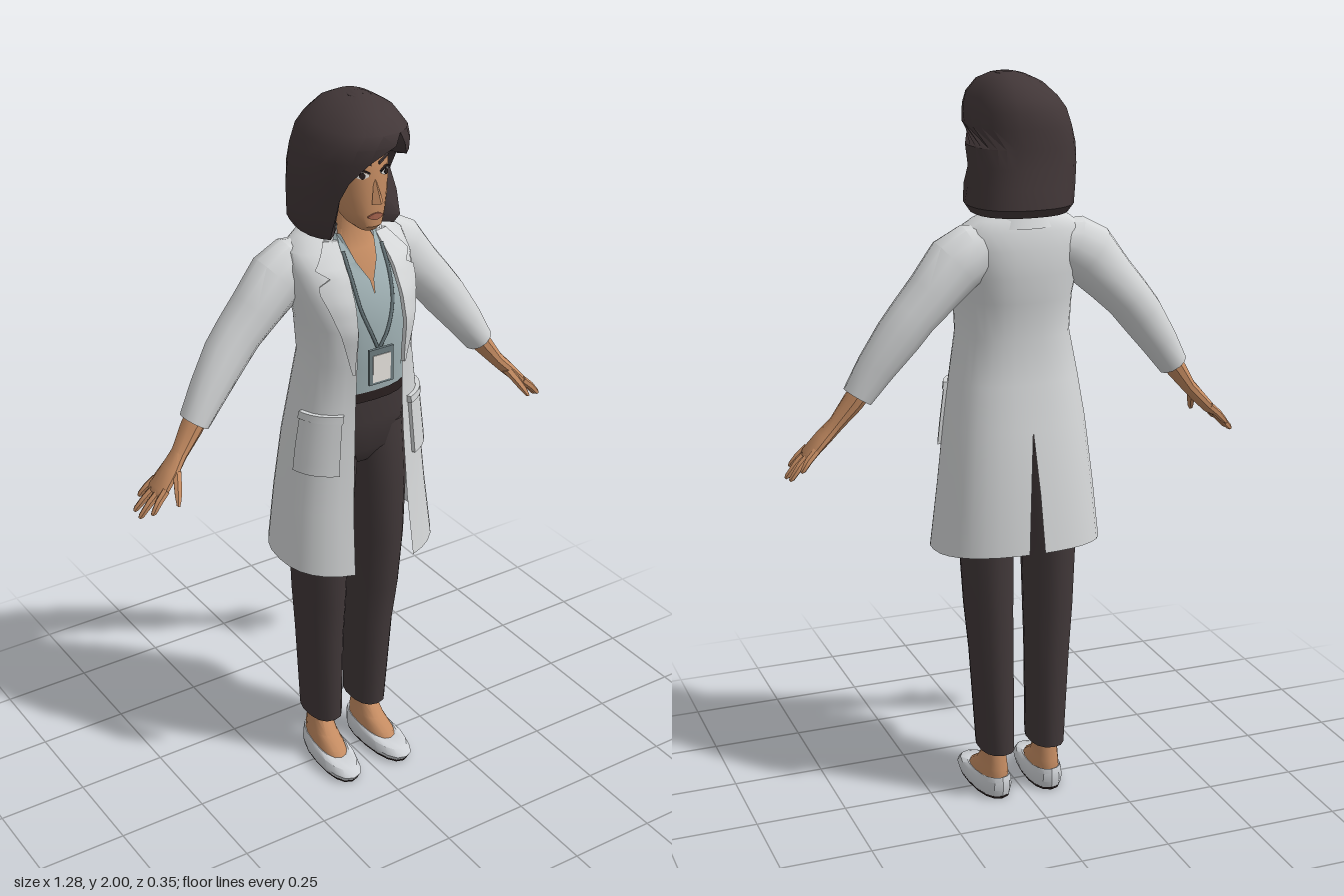
import * as THREE from 'three';
import { toCreasedNormals } from 'three/addons/utils/BufferGeometryUtils.js';

const P = 0.85; // squareness of every cross-section
const paint = (name, color) => {
  const m = new THREE.MeshStandardMaterial({ color, side: THREE.DoubleSide });
  m.name = name;
  return m;
};
const V = (x, y, z) => new THREE.Vector3(x, y, z);
const pow = (v) => Math.sign(v) * Math.abs(v) ** P;

// Surface through rows of points; columns listed in skip stay open
function grid(rows, skip = -1, caps = false) {
  const n = rows[0].length, pos = [], idx = [];
  rows.forEach((r) => r.forEach((p) => pos.push(p.x, p.y, p.z)));
  for (let r = 0; r < rows.length - 1; r++) for (let c = 0; c < n - 1; c++) {
    if (c === skip) continue;
    const a = r * n + c, b = a + 1, d = a + n;
    idx.push(a, b, d, b, d + 1, d);
  }
  if (caps) [0, rows.length - 1].forEach((r) => {
    const m = rows[r].reduce((s, p) => s.add(p), V(0, 0, 0)).divideScalar(n);
    const k = pos.length / 3;
    pos.push(m.x, m.y, m.z);
    for (let c = 0; c < n - 1; c++) {
      const a = r * n + c;
      if (r) idx.push(a, a + 1, k); else idx.push(a + 1, a, k);
    }
  });
  const g = new THREE.BufferGeometry();
  g.setAttribute('position', new THREE.Float32BufferAttribute(pos, 3));
  g.setIndex(idx);
  return toCreasedNormals(g, 0.65);
}

// Body row: [y, centreX, halfWidth, zFront, zBack, openLeft, openRight, backGap, tilt]; angle 0 is the front
const ringPoint = ([y, cx, w, zf, zb, , , , tilt = 0], t, off = 0) => V(
  cx + w * pow(Math.sin(t)) + off * Math.sin(t),
  y + tilt * Math.cos(t),
  (zf + zb) / 2 + (zf - zb) / 2 * pow(Math.cos(t)) + off * Math.cos(t));
const angleAt = (row, x) => Math.sign(x) * Math.asin(Math.min(1, Math.abs(x) / row[2]) ** (1 / P));

function rowAt(rows, y) {
  let i = 0;
  while (i < rows.length - 2 && rows[i + 1][0] < y) i++;
  const k = (y - rows[i][0]) / (rows[i + 1][0] - rows[i][0]);
  return rows[i].map((v, j) => v + ((rows[i + 1][j] ?? 0) - v) * k);
}

// Body shell, in two halves that meet at the back; rim turns open edges inwards
function shell(rows, { caps = false, rim = 1, half = 12 } = {}) {
  const pts = rows.map((row) => {
    const [, cx, , zf, zb, o1 = 0, o2 = 0, gap = 0] = row, ring = [];
    for (let side = 0; side < 2; side++) for (let i = 0; i <= half; i++) {
      const k = i / half;
      const t = side ? Math.PI + k * (Math.PI - o2) : o1 + k * (Math.PI - o1);
      const p = ringPoint(row, t);
      if (!side && i === half) p.x += gap;
      if (side && i === 0) p.x -= gap;
      ring.push(p);
    }
    if (rim !== 1) {
      const inward = (p) => V(cx + (p.x - cx) * rim, p.y, (zf + zb) / 2 + (p.z - (zf + zb) / 2) * rim);
      ring.unshift(inward(ring[0]));
      ring.push(inward(ring[ring.length - 1]));
    }
    return ring;
  });
  return grid(pts, half + (rim !== 1 ? 1 : 0), caps);
}

// Thin raised plate lying on a shell; map(u, v) gives [x or angle, y]
function patch(rows, map, { off = 0.007, byAngle = false, nu = 6, nv = 6 } = {}) {
  const out = [];
  for (let j = -1; j <= nv + 1; j++) {
    const line = [];
    for (let i = -1; i <= nu + 1; i++) {
      const edge = i < 0 || j < 0 || i > nu || j > nv;
      const cl = (a, n) => Math.max(0, Math.min(n, a)) / n;
      const [a, y] = map(cl(i, nu), cl(j, nv)), row = rowAt(rows, y);
      line.push(ringPoint(row, byAngle ? a : angleAt(row, a), edge ? -0.002 : off));
    }
    out.push(line);
  }
  return grid(out);
}

// Limb through stations [x, y, z, thickness, breadth]
function limb(st, sides = 10) {
  return grid(st.map(([x, y, z, a, b], i) => {
    const p = st[Math.max(0, i - 1)], q = st[Math.min(st.length - 1, i + 1)];
    const d = V(q[0] - p[0], q[1] - p[1], 0).normalize();
    return Array.from({ length: sides + 1 }, (_, k) => {
      const t = k / sides * Math.PI * 2, c = Math.cos(t) * a;
      return V(x - d.y * c, y + d.x * c, z + Math.sin(t) * b);
    });
  }), -1, true);
}

export function createModel() {
  const model = new THREE.Group();
  const skin = paint('skin', 0xc58c62), hairMat = paint('hair', 0x423738), white = paint('coat cloth', 0xd5d7d8);
  const shirtMat = paint('shirt cloth', 0x9fb0b3), dark = paint('trouser cloth', 0x413839), shoeMat = paint('shoe', 0xcfd2d6);
  const slate = paint('lanyard', 0x6d7c80), eyeMat = paint('eye white', 0xe8e4df), black = paint('dark detail', 0x2a2020);
  const lipMat = paint('lips', 0xa8654f);
  const add = (name, geo, mat) => {
    const m = new THREE.Mesh(geo, mat);
    m.name = name;
    model.add(m);
    return m;
  };

  // Coat: front edges given as x, turned into angles
  const coat = [
    [0.73, 0, 0.232, 0.172, -0.178, 0.1, 0.09, 0.022, -0.018], [0.9, 0, 0.213, 0.152, -0.165, 0.09, 0.083, 0.013, -0.008],
    [1.08, 0, 0.192, 0.14, -0.143, 0.082, 0.073, 0, 0], [1.2, 0, 0.174, 0.136, -0.122, 0.078, 0.068, 0, 0],
    [1.32, 0, 0.152, 0.142, -0.11, 0.074, 0.066, 0, 0], [1.42, 0, 0.156, 0.153, -0.124, 0.074, 0.068, 0, 0],
    [1.49, 0, 0.167, 0.135, -0.134, 0.074, 0.07, 0, 0], [1.56, 0, 0.175, 0.095, -0.133, 0.072, 0.07, 0, 0],
    [1.605, 0, 0.168, 0.05, -0.125, 0.068, 0.068, 0, 0], [1.635, 0, 0.13, 0.02, -0.115, 0.06, 0.06, 0, 0],
    [1.655, 0, 0.08, 0, -0.1, 0.05, 0.05, 0, 0]];
  coat.forEach((r) => { r[5] = angleAt(r, r[5]); r[6] = angleAt(r, r[6]); });
  add('coat', shell(coat, { half: 14 }), white);
  add('coatCollar', shell([[1.615, 0, 0.108, 0.055, -0.128, 0.75, 0.75], [1.675, 0, 0.075, 0.035, -0.105, 0.75, 0.75],
    [1.64, 0, 0.066, 0.03, -0.098, 0.75, 0.75]]), white);

  // Shirt, V neck and chest
  const shirt = [[1.2, 0, 0.14, 0.113, -0.1, 0, 0], [1.3, 0, 0.128, 0.122, -0.092, 0, 0], [1.42, 0, 0.135, 0.135, -0.1, 0, 0],
    [1.5, 0, 0.138, 0.115, -0.11, 0, 0], [1.535, 0, 0.135, 0.1, -0.11, 0.02, 0.02], [1.58, 0, 0.12, 0.075, -0.105, 0.2, 0.2],
    [1.645, 0, 0.066, 0.043, -0.09, 0.75, 0.75]];
  add('shirt', shell(shirt), shirtMat);
  add('neck', shell([[1.46, 0, 0.1, 0.095, -0.08], [1.54, 0, 0.1, 0.08, -0.085], [1.6, 0, 0.075, 0.045, -0.085],
    [1.65, 0, 0.047, 0.025, -0.08], [1.74, 0, 0.046, 0.035, -0.075]]), skin);

  // Trousers top and belt
  add('trouserTop', shell([[0.99, 0, 0.09, 0.06, -0.08], [1.04, 0, 0.148, 0.092, -0.118], [1.13, 0, 0.152, 0.105, -0.118],
    [1.215, 0, 0.143, 0.112, -0.102]], { caps: true }), dark);
  add('belt', shell([[1.2, 0, 0.145, 0.117, -0.105], [1.228, 0, 0.143, 0.118, -0.104]]), black);

  // Head
  const head = [[1.67, 0, 0.022, 0.1, 0.04], [1.685, 0, 0.04, 0.114, 0], [1.72, 0, 0.058, 0.115, -0.06], [1.77, 0, 0.072, 0.114, -0.1],
    [1.83, 0, 0.078, 0.112, -0.12], [1.9, 0, 0.076, 0.105, -0.12], [1.95, 0, 0.055, 0.07, -0.09]];
  add('head', shell(head, { caps: true }), skin);
  const nose = add('nose', new THREE.ConeGeometry(0.017, 0.075, 4).toNonIndexed(), skin);
  nose.geometry.computeVertexNormals();
  nose.position.set(0, 1.785, 0.115);
  nose.rotation.x = -0.22;
  const lens = (rows, x, w, y, h, off) => patch(rows, (u, v) => [x + (u - 0.5) * w, y + (v - 0.5) * h * Math.sin(Math.PI * (0.06 + 0.88 * u))],
    { off, nu: 8, nv: 2 });
  add('lips', lens(head, 0, 0.042, 1.713, 0.018, 0.004), lipMat);

  // Hair: swept across from a side parting, tucked behind the left ear
  const hair = [[1.665, 0, 0.06, 0.02, -0.09, 1, 0.8], [1.648, 0, 0.125, 0.085, -0.15, 0.95, 0.8], [1.67, 0, 0.14, 0.1, -0.166, 0.95, 0.75],
    [1.72, -0.005, 0.142, 0.115, -0.16, 1.4, 0.68], [1.77, -0.01, 0.143, 0.128, -0.152, 1.6, 0.62], [1.82, -0.012, 0.141, 0.145, -0.15, 1.5, 0.5],
    [1.87, -0.01, 0.134, 0.165, -0.15, 0.6, 0.25], [1.91, -0.006, 0.124, 0.177, -0.145, 0.4, -0.15], [1.94, 0, 0.108, 0.172, -0.132, 0.27, -0.27],
    [1.975, 0.008, 0.077, 0.13, -0.1, 0.27, -0.27], [1.993, 0.013, 0.042, 0.075, -0.06, 0.27, -0.27], [2, 0.016, 0.012, 0.03, -0.01, 0.27, -0.27]];
  add('hair', shell(hair, { rim: 0.72, half: 9, caps: false }), hairMat);
  add('hairCrown', new THREE.SphereGeometry(0.03, 12, 6).scale(1, 0.12, 1.3).translate(0.016, 1.996, 0.01), hairMat);

  // Identity badge
  const badge = add('badge', new THREE.BoxGeometry(0.074, 0.1, 0.008), slate);
  badge.position.set(0, 1.312, 0.143);
  const card = add('badgeCard', new THREE.BoxGeometry(0.054, 0.076, 0.006), eyeMat);
  card.position.set(0, 1.307, 0.146);

  for (const s of [1, -1]) {
    const side = s > 0 ? 'left' : 'right';
    const at = (rows) => rows.map(([x, ...r]) => [s * x, ...r]);
    const body = (rows) => rows.map(([y, x, ...r]) => [y, s * x, ...r]);

    // Lapel with its notch, pocket and flap line
    const lapel = [[1.3, 0.072, 0.078], [1.42, 0.07, 0.108], [1.535, 0.066, 0.142], [1.555, 0.065, 0.108], [1.575, 0.064, 0.135], [1.63, 0.055, 0.09]];
    add(side + 'Lapel', patch(coat, (u, v) => {
      const [y, a, b] = rowAt(lapel, 1.3 + v * 0.33);
      return [s * (a + (b - a) * u), y];
    }, { nu: 4, nv: 18, off: 0.009 }), white);
    add(side + 'Pocket', patch(coat, (u, v) => [s * (0.55 + 0.82 * u), 1.015 + 0.165 * v], { byAngle: true, off: 0.009 }), white);
    add(side + 'PocketHem', patch(coat, (u, v) => [s * (0.53 + 0.86 * u), 1.165 + 0.02 * v], { byAngle: true, off: 0.012, nv: 1 }), white);

    // Lanyard strap
    const strap = [[0.055, 1.61], [0.054, 1.54], [0.046, 1.47], [0.022, 1.4], [0.004, 1.36]].map(([x, y]) => {
      const row = rowAt(shirt, y);
      return ringPoint(row, angleAt(row, s * x), 0.006);
    });
    add(side + 'LanyardStrap', new THREE.TubeGeometry(new THREE.CatmullRomCurve3(strap), 16, 0.005, 5), slate);

    // Face details and ear
    add(side + 'Eye', lens(head, s * 0.034, 0.034, 1.822, 0.017, 0.002), eyeMat);
    add(side + 'Iris', lens(head, s * 0.034, 0.014, 1.822, 0.017, 0.004), black);
    add(side + 'EyeLid', patch(head, (u, v) => [s * (0.016 + 0.037 * u), 1.825 + 0.008 * Math.sin(Math.PI * u) + 0.004 * v], { off: 0.005, nv: 1 }), black);
    add(side + 'Eyebrow', patch(head, (u, v) => [s * (0.012 + 0.045 * u), 1.845 + 0.012 * Math.sin(2.2 * u) + 0.007 * v * (1 - 0.6 * u)],
      { off: 0.004, nv: 1 }), hairMat);
    const ear = add(side + 'Ear', new THREE.SphereGeometry(0.03, 10, 8).scale(0.4, 1, 0.65), skin);
    ear.position.set(s * 0.083, 1.8, -0.005);
    ear.rotation.y = s * -0.35;

    // Sleeve, forearm and palm
    add(side + 'Sleeve', limb(at([[0.09, 1.57, -0.06, 0.055, 0.045], [0.135, 1.555, -0.06, 0.078, 0.062], [0.185, 1.525, -0.06, 0.083, 0.066],
      [0.25, 1.453, -0.062, 0.07, 0.064], [0.3, 1.4, -0.062, 0.064, 0.06], [0.34, 1.35, -0.06, 0.062, 0.058], [0.4, 1.268, -0.05, 0.052, 0.05],
      [0.448, 1.195, -0.043, 0.041, 0.043]]), 12), white);
    add(side + 'Forearm', limb(at([[0.42, 1.235, -0.045, 0.03, 0.035], [0.46, 1.18, -0.04, 0.028, 0.033], [0.502, 1.125, -0.03, 0.02, 0.026],
      [0.535, 1.09, -0.022, 0.019, 0.036], [0.575, 1.048, -0.018, 0.015, 0.043], [0.585, 1.038, -0.018, 0.01, 0.038]])), skin);

    // Fingers [baseX, baseZ, tipX, tipZ] and thumb
    [[0.562, -0.049, 0.608, -0.064], [0.57, -0.029, 0.633, -0.042], [0.573, -0.006, 0.636, -0.008], [0.568, 0.015, 0.617, 0.026]].forEach(([x, z, X, Z], i) => {
      const y = (v) => 1.052 - (v - 0.572) * 1.05, m = (x + X) / 2;
      add(side + 'Finger' + (i + 1), limb(at([[x, y(x), z, 0.011, 0.011], [m, y(m) + 0.003, (z + Z) / 2, 0.0105, 0.0105],
        [X - 0.006, y(X - 0.006), Z, 0.008, 0.008], [X, y(X), Z, 0.004, 0.004]]), 6), skin);
    });
    add(side + 'Thumb', limb(at([[0.525, 1.095, -0.005, 0.014, 0.016], [0.538, 1.07, 0.022, 0.012, 0.014], [0.55, 1.045, 0.045, 0.01, 0.011],
      [0.557, 1.028, 0.057, 0.005, 0.006]]), 6), skin);

    // Trouser leg
    add(side + 'TrouserLeg', shell(body([[0.14, 0.074, 0.048, 0.033, -0.12], [0.42, 0.082, 0.056, 0.05, -0.122], [0.55, 0.087, 0.061, 0.068, -0.125],
      [0.72, 0.09, 0.066, 0.083, -0.127], [0.9, 0.083, 0.075, 0.092, -0.122], [1.0, 0.077, 0.076, 0.093, -0.118], [1.1, 0.072, 0.074, 0.09, -0.11]]),
    { caps: true, half: 7 }), dark);

    // Foot and slip-on shoe, turned slightly out
    const foot = new THREE.Group();
    foot.name = side + 'Foot';
    const part = (name, rows, mat) => foot.add(Object.assign(add(name, shell(rows, { caps: true, half: 8 }), mat)));
    part(side + 'Ankle', [[0.03, 0, 0.04, 0.1, -0.098], [0.058, 0, 0.04, 0.075, -0.1], [0.085, 0, 0.035, 0.03, -0.098], [0.12, 0, 0.031, 0, -0.09],
      [0.2, 0, 0.033, 0, -0.09]], skin);
    part(side + 'Shoe', [[0.006, 0, 0.049, 0.15, -0.105, 0, 0, 0, 0], [0.024, 0, 0.054, 0.16, -0.11, 0, 0, 0, -0.003],
      [0.045, 0, 0.05, 0.14, -0.11, 0, 0, 0, -0.006], [0.056, 0, 0.043, 0.095, -0.106, 0, 0, 0, -0.01],
      [0.052, 0, 0.036, 0.07, -0.098, 0, 0, 0, -0.01]], shoeMat);
    part(side + 'Sole', [[0, 0, 0.047, 0.148, -0.103], [0.008, 0, 0.05, 0.152, -0.106]], black);
    foot.position.set(s * 0.08, 0, 0);
    foot.rotation.y = s * 0.06;
    model.add(foot);
  }
  return model;
}
